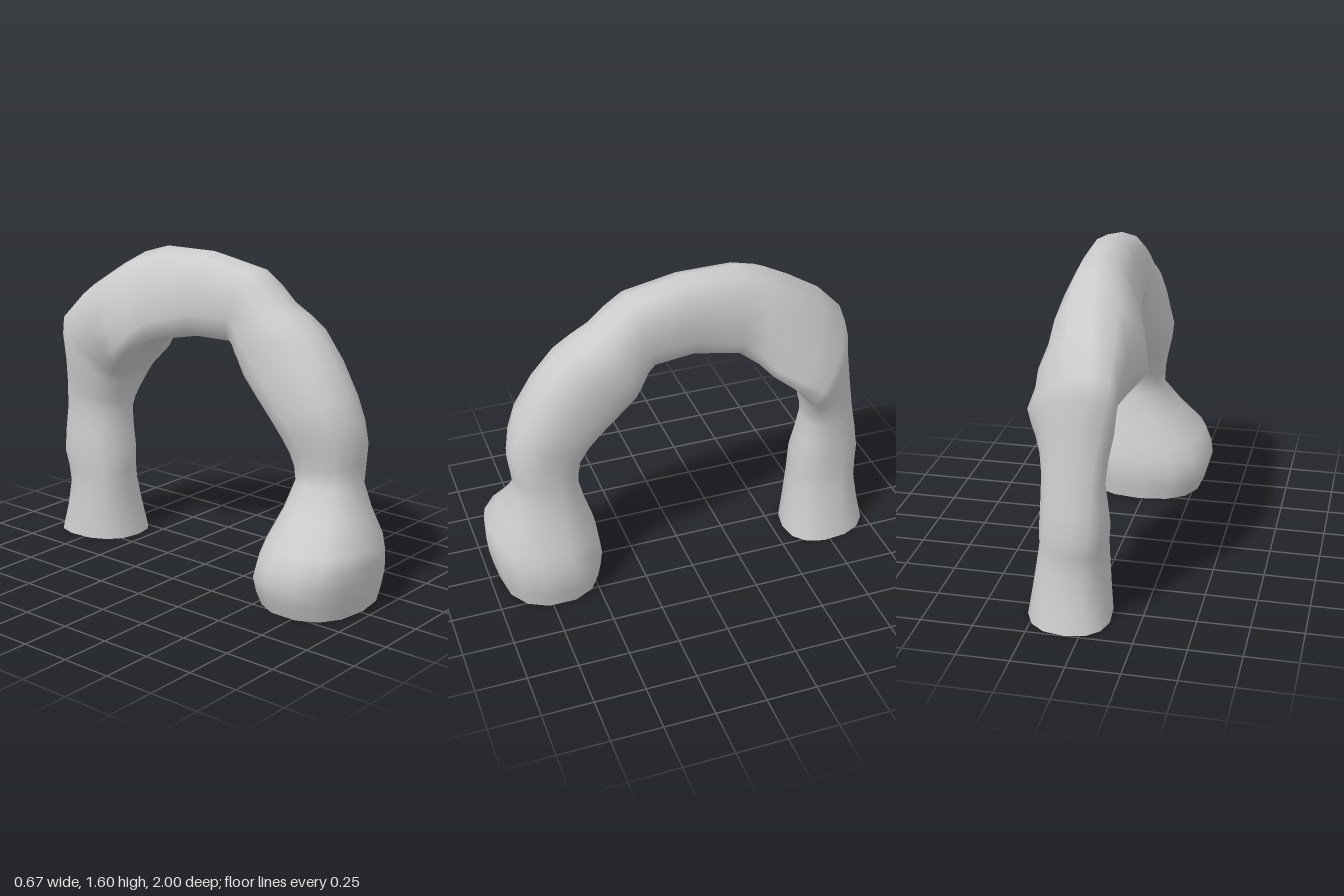
import * as THREE from 'three';

// Key sections from the front foot, over the arch, to the back foot:
// outer z, y; inner z, y; min x, max x; x lean of the outer edge; sag of the flanks
const SECTIONS = [
  [0.95, 0, 0.455, 0, -0.28, 0.31, 0, 0],
  [0.99, 0.17, 0.43, 0.15, -0.34, 0.34, 0, 0],
  [0.99, 0.32, 0.46, 0.3, -0.29, 0.31, -0.02, 0],
  [0.86, 0.58, 0.54, 0.57, -0.07, 0.23, 0, 0],
  [0.88, 0.78, 0.52, 0.7, -0.09, 0.22, 0.01, 0],
  [0.82, 1.0, 0.42, 0.84, -0.13, 0.24, 0, 0],
  [0.62, 1.29, 0.24, 1.02, -0.11, 0.25, 0, 0],
  [0.44, 1.4, 0.2, 1.1, -0.1, 0.24, 0, 0],
  [0.27, 1.54, 0.15, 1.17, -0.08, 0.22, 0, 0],
  [-0.28, 1.595, -0.28, 1.13, -0.13, 0.2, 0.02, 0.3],
  [-0.55, 1.48, -0.42, 1.04, -0.21, 0.26, 0, 0.55],
  [-0.87, 1.21, -0.59, 0.88, -0.13, 0.26, -0.1, 0.3],
  [-0.89, 1.0, -0.62, 0.78, -0.11, 0.24, -0.07, 0.1],
  [-0.92, 0.7, -0.64, 0.68, -0.08, 0.22, -0.04, 0],
  [-0.957, 0.45, -0.6, 0.45, -0.1, 0.23, -0.02, 0],
  [-0.94, 0.28, -0.595, 0.28, -0.09, 0.24, 0, 0],
  [-1.0, 0, -0.555, 0, -0.11, 0.29, -0.02, 0],
];
const SIDES = 14;
const RINGS = (SECTIONS.length - 1) * 2;

// Slightly squared cosine and sine for a rounded-block outline
const squared = (t) => Math.sign(t) * Math.pow(Math.abs(t), 0.85);

// Smooth curve through one property of every section
const through = (pick) =>
  new THREE.CatmullRomCurve3(SECTIONS.map((s) => new THREE.Vector3(...pick(s))));

function archGeometry() {
  const outer = through(([z, y, , , x0, x1, lean]) => [(x0 + x1) / 2 + lean, y, z]);
  const inner = through(([, , z, y, x0, x1, lean]) => [(x0 + x1) / 2 - lean, y, z]);
  const flank = through(([, , , , x0, x1, , sag]) => [(x1 - x0) / 2, sag, 0]);
  const positions = [];
  const index = [];
  for (let i = 0; i <= RINGS; i++) {
    const t = i / RINGS;
    const back = outer.getPoint(t);
    const belly = inner.getPoint(t);
    const { x: halfWidth, y: sag } = flank.getPoint(t);
    for (let j = 0; j < SIDES; j++) {
      const a = (j / SIDES) * Math.PI * 2;
      const u = squared(Math.cos(a)) - sag * Math.sin(a) ** 2;
      const p = belly.clone().lerp(back, (1 + u) / 2);
      positions.push(p.x + squared(Math.sin(a)) * halfWidth, p.y, p.z);
      if (i === RINGS) continue;
      const m = i * SIDES + j;
      const n = i * SIDES + ((j + 1) % SIDES);
      index.push(m, n, m + SIDES, n, n + SIDES, m + SIDES);
    }
  }
  const geometry = new THREE.BufferGeometry();
  geometry.setAttribute('position', new THREE.Float32BufferAttribute(positions, 3));
  geometry.setIndex(index);
  geometry.computeVertexNormals();
  return geometry;
}

export function createModel() {
  const group = new THREE.Group();
  group.name = 'rockArch';

  // One continuous rock tube, open under both feet
  const rock = new THREE.Mesh(
    archGeometry(),
    new THREE.MeshStandardMaterial({ color: 0xcccccc, side: THREE.DoubleSide })
  );
  rock.name = 'archRock';
  group.add(rock);
  return group;
}
